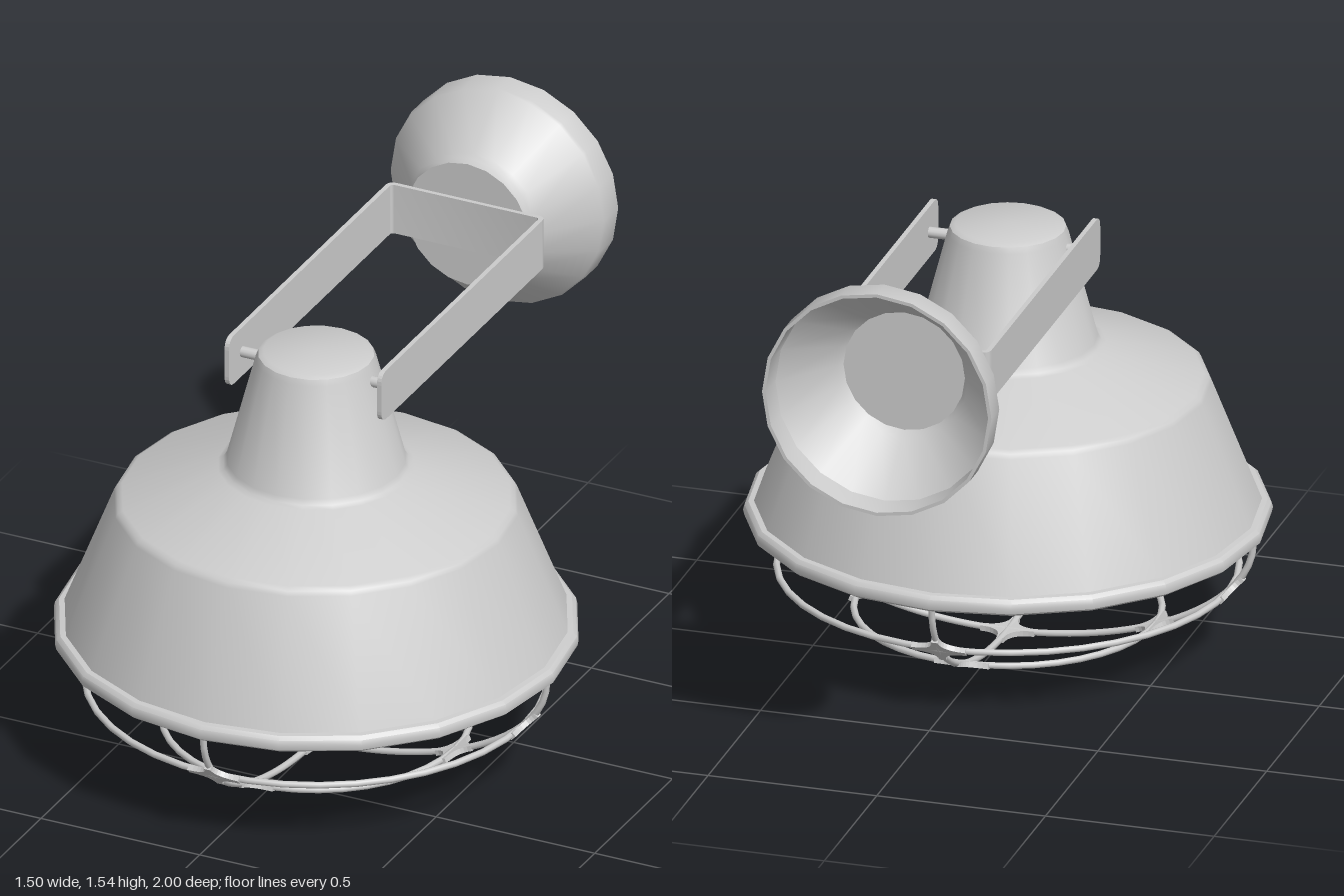
import * as THREE from 'three';
import { toCreasedNormals } from 'three/addons/utils/BufferGeometryUtils.js';

const SIDES = 20;
const grey = new THREE.MeshStandardMaterial({ color: 0xcccccc, side: THREE.DoubleSide });

function add(parent, name, geometry) {
  const mesh = new THREE.Mesh(geometry, grey);
  mesh.name = name;
  parent.add(mesh);
  return mesh;
}

function lathe(points, sides = SIDES) {
  const profile = points.map(([r, y]) => new THREE.Vector2(r, y));
  return toCreasedNormals(new THREE.LatheGeometry(profile, sides), 0.6);
}

// Four-armed web with concave fillets, for the cage joints
function webGeometry(long, tall, w) {
  const s = new THREE.Shape();
  s.moveTo(long, w);
  s.quadraticCurveTo(w, w, w, tall);
  s.lineTo(-w, tall);
  s.quadraticCurveTo(-w, w, -long, w);
  s.lineTo(-long, -w);
  s.quadraticCurveTo(-w, -w, -w, -tall);
  s.lineTo(w, -tall);
  s.quadraticCurveTo(w, -w, long, -w);
  s.closePath();
  return new THREE.ExtrudeGeometry(s, { depth: 0.016, bevelEnabled: false, curveSegments: 8 })
    .translate(0, 0, -0.008);
}

function createShade() {
  const shade = new THREE.Group();
  shade.name = 'shade';

  // Thin shell: inside from the top down, then outside back up
  add(shade, 'shell', lathe([
    [0, 1.24], [0.145, 1.24], [0.245, 0.89], [0.545, 0.775], [0.695, 0.39],
    [0.715, 0.39], [0.72, 0.41], [0.577, 0.775], [0.57, 0.788], [0.555, 0.797],
    [0.28, 0.896], [0.265, 0.903], [0.255, 0.918],
    [0.172, 1.235], [0.165, 1.253], [0.15, 1.261], [0, 1.261],
  ]));

  // Rolled lip
  add(shade, 'rim', lathe([
    [0.695, 0.362], [0.735, 0.362], [0.747, 0.371], [0.75, 0.386], [0.746, 0.401],
    [0.735, 0.411], [0.715, 0.413], [0.695, 0.40], [0.695, 0.362],
  ]));

  add(shade, 'bulb', lathe([
    [0, 0.475], [0.05, 0.48], [0.1, 0.505], [0.137, 0.55], [0.147, 0.6],
    [0.14, 0.66], [0.115, 0.8], [0.105, 0.9], [0.105, 1.24],
  ]));
  return shade;
}

function createCage() {
  const cage = new THREE.Group();
  cage.name = 'cage';
  const a = 0.728, b = 0.36, top = 0.372, wire = 0.01;
  const radiusAt = (y) => a * Math.sqrt(1 - ((top - y) / b) ** 2);

  // Two crossing half-ellipse wires
  const arc = [];
  for (let i = 0; i <= 24; i++) {
    const t = Math.PI * i / 24;
    arc.push(new THREE.Vector3(-a * Math.cos(t), top - b * Math.sin(t), 0));
  }
  const rib = new THREE.TubeGeometry(new THREE.CatmullRomCurve3(arc), 48, wire, 8);
  for (const turn of [0, Math.PI / 2]) add(cage, 'rib', rib).rotation.y = turn;

  // Hoops, with a web wherever a rib crosses
  const web = webGeometry(0.08, 0.06, wire);
  for (const y of [0.215, 0.084]) {
    const r = radiusAt(y);
    const hoop = add(cage, 'hoop', new THREE.TorusGeometry(r, wire, 8, 40));
    hoop.rotation.x = Math.PI / 2;
    hoop.position.y = y;
    for (let k = 0; k < 4; k++) {
      const pivot = new THREE.Group();
      pivot.name = 'joint';
      pivot.rotation.y = k * Math.PI / 2;
      const joint = add(pivot, 'jointWeb', web);
      joint.position.set(0, y, r);
      joint.rotation.x = Math.atan2((top - y) / (b * b), r / (a * a));
      cage.add(pivot);
    }
  }
  const bottom = add(cage, 'bottomWeb', webGeometry(0.08, 0.08, wire));
  bottom.position.y = top - b;
  bottom.rotation.x = Math.PI / 2;
  return cage;
}

function createBracket() {
  const bracket = new THREE.Group();
  bracket.name = 'bracket';
  const low = 1.125, high = 1.28, tip = 0.335, back = -0.7, outer = 0.247, thick = 0.014;

  // Side straps with rounded tips
  const s = new THREE.Shape();
  s.moveTo(back, low);
  s.lineTo(tip - 0.035, low);
  s.quadraticCurveTo(tip, low, tip, low + 0.035);
  s.lineTo(tip, high - 0.035);
  s.quadraticCurveTo(tip, high, tip - 0.035, high);
  s.lineTo(back, high);
  s.closePath();
  const strap = new THREE.ExtrudeGeometry(s, { depth: thick, bevelEnabled: false, curveSegments: 6 })
    .translate(0, 0, -thick / 2).rotateY(-Math.PI / 2);
  const pin = new THREE.CylinderGeometry(0.016, 0.016, 0.12, 12).rotateZ(Math.PI / 2);
  for (const side of [-1, 1]) {
    add(bracket, 'strap', strap).position.x = side * (outer - thick / 2);
    add(bracket, 'pivotPin', pin).position.set(side * 0.18, 1.203, 0.25);
  }

  // Back of the strap with bent corners, drawn in plan
  const end = -0.725, inner = outer - thick, bend = 0.025;
  const p = new THREE.Shape();
  p.moveTo(-outer, back);
  p.quadraticCurveTo(-outer, end, -outer + bend, end);
  p.lineTo(outer - bend, end);
  p.quadraticCurveTo(outer, end, outer, back);
  p.lineTo(inner, back);
  p.quadraticCurveTo(inner, end + thick, inner - 0.012, end + thick);
  p.lineTo(-inner + 0.012, end + thick);
  p.quadraticCurveTo(-inner, end + thick, -inner, back);
  p.closePath();
  const bar = new THREE.ExtrudeGeometry(p, { depth: high - low, bevelEnabled: false, curveSegments: 6 })
    .rotateX(Math.PI / 2).translate(0, high, 0);
  add(bracket, 'crossStrap', toCreasedNormals(bar, 0.6));
  return bracket;
}

function createWallMount() {
  // Hollow cup, open to the wall; the lathe axis points forward
  const cup = lathe([
    [0, 0.262], [0.18, 0.262], [0.195, 0.24], [0.325, 0.08], [0.33, 0.0],
    [0.34, 0.0], [0.34, 0.075], [0.335, 0.085], [0.207, 0.235], [0.197, 0.25],
    [0.193, 0.276], [0, 0.276],
  ]).rotateX(Math.PI / 2);
  const mesh = new THREE.Mesh(cup, grey);
  mesh.name = 'wallMount';
  mesh.position.set(0, 1.2, -1);
  return mesh;
}

export function createModel() {
  const model = new THREE.Group();
  model.name = 'wallLamp';
  const head = new THREE.Group();
  head.name = 'lampHead';
  head.position.z = 0.25;
  head.add(createShade(), createCage());
  model.add(head, createBracket(), createWallMount());
  return model;
}
